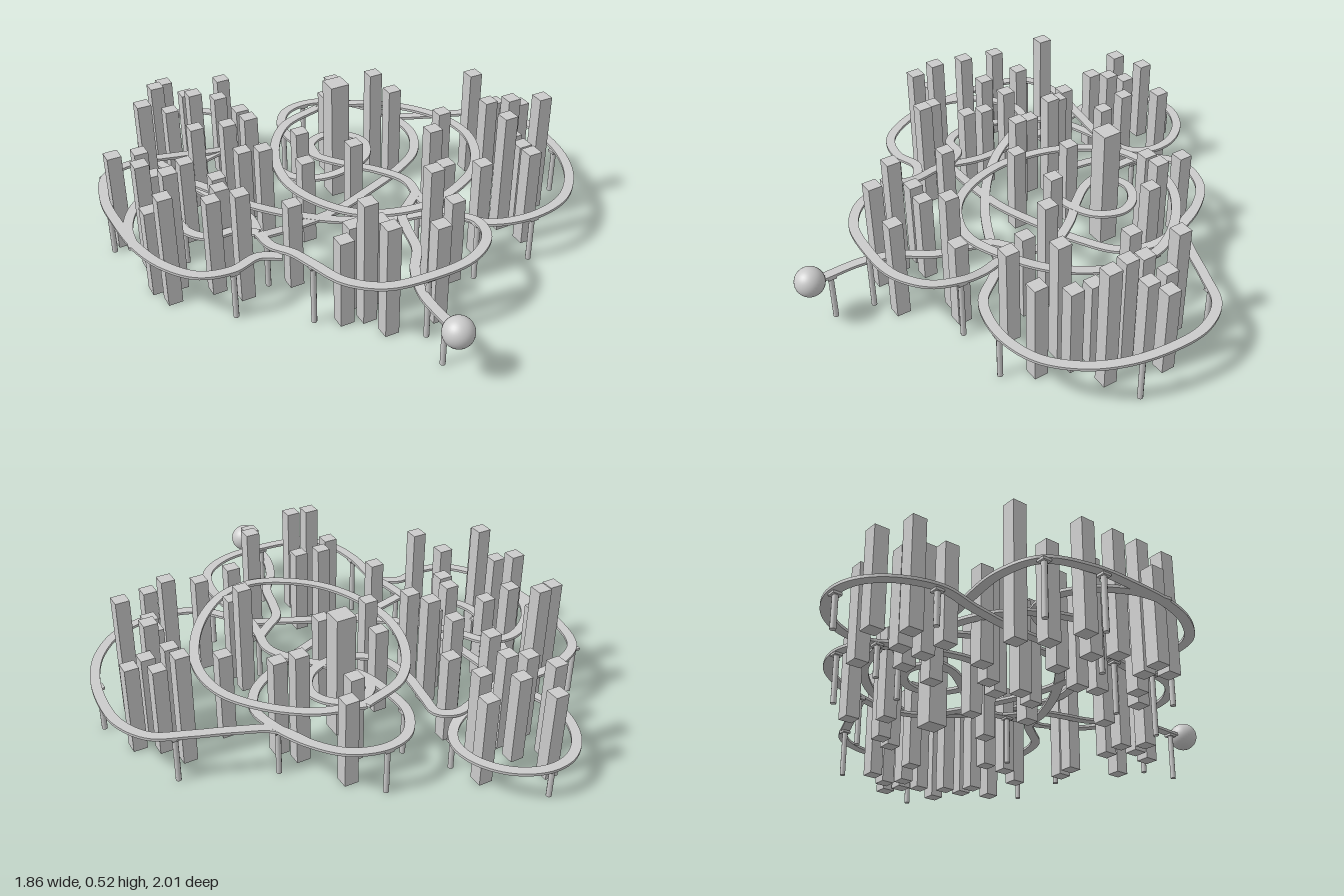
import * as THREE from 'three';

const grey = new THREE.MeshStandardMaterial({ color: 0xcccccc, flatShading: true });
const smooth = new THREE.MeshStandardMaterial({ color: 0xcccccc });
const road = new THREE.MeshStandardMaterial({ color: 0xcccccc, side: THREE.DoubleSide, flatShading: true });
const UNIT = 0.01; // layout below is in hundredths

// Towers by district: height, then [x, z] centres
const districts = {
  backTower: [
    [37, [[-45, -88], [-40, -74], [-22, -79], [-51, -64], [-29, -65], [-25, -51]]],
    [41.5, [[-52, -78], [-40, -65]]],
  ],
  leftTower: [
    [37, [[-73, -39], [-37, -21], [-60, -24], [-74, -21.5], [-53, -8.5], [-55, -1], [-83, 0.5], [-35.5, 21], [-47, -46]]],
    [41.5, [[-85, -34], [-32, -12], [-63, 11], [-37, -35.5]]],
    [47, [[-80, 9], [-80, -15], [-31, -27.5], [-55, 19.5]]],
    [52, [[-67, -48], [-75, 2]]],
  ],
  middleTower: [
    [37, [[-18.5, -2.5], [-11, -23], [4, -5], [12.5, -45], [21, -56], [48, -9.5], [28.5, 24.5]]],
    [41.5, [[35, -28.5]]],
    [47, [[30, -36], [28.5, 14.5]]],
  ],
  rightTower: [
    [37, [[72.5, -6.5], [73.5, 2.5], [81, -0.5], [63.5, 19], [62.5, 27]]],
    [41.5, [[65.5, -1.5], [58, 39], [37, 37]]],
    [47, [[67, -16], [69, 9]]],
    [52, [[75, 21], [54.5, 27]]],
  ],
  frontTower: [
    [37, [[18.5, 47], [-22, 43], [-29, 49.5], [-12, 44.5]]],
    [42.5, [[1.5, 64]]],
    [47, [[-17.5, 62]]],
    [52, [[10, 45], [-21, 52]]],
  ],
};

// Elevated roads: [x, y, z] path points
const roads = {
  entranceRoad: [[-9.5, 21, 90], [-9.5, 21, 72], [-5, 21, 58.5], [2, 21, 48], [5, 21, 36], [8, 21, 27], [14, 21, 22], [20, 21, 17]],
  frontLoop: [[-46, 22, 13], [-45, 22, 22], [-41, 24, 32], [-39, 27, 45], [-34, 28, 60], [-23, 28, 69], [-7, 28, 71.5],
    [11, 28, 70], [23, 28, 62], [26.5, 27, 51], [24, 24, 40], [20, 22, 30], [20, 21, 20], [21.5, 21, 7], [15, 21, -5],
    [5, 21, -16], [-2, 21, -26], [-5, 21, -40], [-5, 21, -54], [2, 21, -65], [12, 21, -68], [25, 21, -64], [35, 21, -53],
    [41.5, 21, -39], [43, 20, -25], [37, 19, -13], [24, 19, -4], [8, 19, 3], [-12, 19, 10], [-30, 20, 13], [-46, 22, 15]],
  rightLoop: [[35, 21, -53], [42, 21, -40], [54, 21, -34], [70, 21, -28], [83, 21, -22], [90, 21, -10], [91, 21, 5], [88, 21, 22],
    [81, 21, 36], [69, 21, 47], [52, 21, 51], [35, 21, 47], [26, 21, 37], [19, 20, 30], [6, 19, 25.5], [-12, 19, 17],
    [-28, 20, 6], [-41, 21, -7], [-50, 22, -21], [-57, 22, -31], [-68, 22, -33], [-81, 22, -25], [-88, 22, -13], [-90, 22, 0]],
  upperRing: [[11, 28, -51], [29, 28, -46], [45, 28, -33], [54, 28, -18], [55, 29, 0], [44, 31, 22], [28, 33, 35], [11, 32, 39],
    [-9, 30, 31], [-20, 29, 17], [-25.5, 28, -4], [-21, 28, -26], [-8, 28, -44], [11, 28, -51]],
  innerSpiral: [[-2, 21, -27], [0, 21, -36], [8, 21, -39.5], [17, 21, -35], [20.5, 21, -27], [16, 21, -17], [6, 21, -12],
    [-5, 20, -12], [-15, 19, -18], [-19, 18, -31], [-18, 17, -46], [-18, 16, -54], [-24, 16, -58], [-36, 16, -55], [-50, 16, -50],
    [-61, 17, -39], [-67, 18, -21], [-68, 19, -5], [-62, 20, 4], [-52, 21, 6], [-46, 22, 13]],
  backLoop: [[-46, 21, 14], [-44, 20, 0], [-47, 18, -16], [-52, 15, -36], [-57, 14, -57], [-61, 14, -74], [-56, 14, -89],
    [-47, 14, -97], [-36, 14, -98.5], [-24, 14, -93], [-16, 14, -82], [-15, 14, -71], [-21, 14, -62], [-33, 16, -57], [-50, 19, -56.5],
    [-70, 21, -57], [-84, 22, -51], [-90, 22, -35], [-90.5, 22, -18], [-89, 22, 0], [-84, 22, 15], [-75, 22, 26], [-63, 22, 29], [-52, 22, 26], [-44, 22, 30]],
};

// Columns beneath the roads: [x, roadHeight, z]
const piers = [[-9.5, 21, 86], [-7, 28, 71], [26.5, 27, 51], [-39, 27, 45], [88.5, 21, 16], [52, 21, 51], [75, 21, -26],
  [12, 21, -68], [41, 21, -40], [-38, 14, -98], [-60, 14, -74], [-16, 14, -68], [-85, 22, -51], [-90, 22, -30], [-63, 22, 29],
  [-45, 22, 18], [-5, 21, -52], [-67, 18, -10], [20, 21, 19]];

function ribbon(points, halfWidth = 0.019, thick = 0.011) {
  const curve = new THREE.CatmullRomCurve3(points.map(p => new THREE.Vector3(...p).multiplyScalar(UNIT)));
  const n = points.length * 8, pos = [], index = [];
  const section = [[-1, 0], [-1, -thick], [1, -thick], [1, 0]];
  for (let i = 0; i <= n; i++) {
    const p = curve.getPointAt(i / n), t = curve.getTangentAt(i / n);
    const len = Math.hypot(t.x, t.z);
    for (const [s, dy] of section) {
      pos.push(p.x - (t.z / len) * s * halfWidth, p.y + dy, p.z + (t.x / len) * s * halfWidth);
    }
    if (i === n) break;
    for (let j = 0; j < 4; j++) {
      const a = i * 4 + j, b = i * 4 + (j + 1) % 4;
      index.push(a, a + 4, b + 4, a, b + 4, b);
    }
  }
  const geo = new THREE.BufferGeometry();
  geo.setAttribute('position', new THREE.Float32BufferAttribute(pos, 3));
  geo.setIndex(index);
  const flat = geo.toNonIndexed();
  flat.computeVertexNormals();
  return flat;
}

export function createModel() {
  const model = new THREE.Group();
  const add = (name, geo, mat, x = 0, y = 0, z = 0) => {
    const mesh = new THREE.Mesh(geo, mat);
    mesh.name = name;
    mesh.position.set(x, y, z);
    model.add(mesh);
  };
  const tower = (name, x, z, h, w) =>
    add(name, new THREE.BoxGeometry(w, h * UNIT, w), grey, x * UNIT, h * UNIT / 2, z * UNIT);

  // Square towers, with a wider one inside the spiral
  for (const [name, groups] of Object.entries(districts)) {
    for (const [h, spots] of groups) for (const [x, z] of spots) tower(name, x, z, h, 0.056);
  }
  tower('centralTower', 8, -27.5, 52, 0.08);

  // Roads
  for (const [name, points] of Object.entries(roads)) add(name, ribbon(points), road);

  // Piers with a small crosshead under the deck
  for (const [x, h, z] of piers) {
    const top = h * UNIT - 0.01;
    add('pier', new THREE.CylinderGeometry(0.011, 0.011, top, 10), smooth, x * UNIT, top / 2, z * UNIT);
    add('pierHead', new THREE.BoxGeometry(0.034, 0.01, 0.034), grey, x * UNIT, top - 0.005, z * UNIT);
  }

  // Sphere at the entrance
  add('entranceSphere', new THREE.SphereGeometry(0.058, 32, 20), smooth, -0.095, 0.21, 0.942);
  return model;
}
